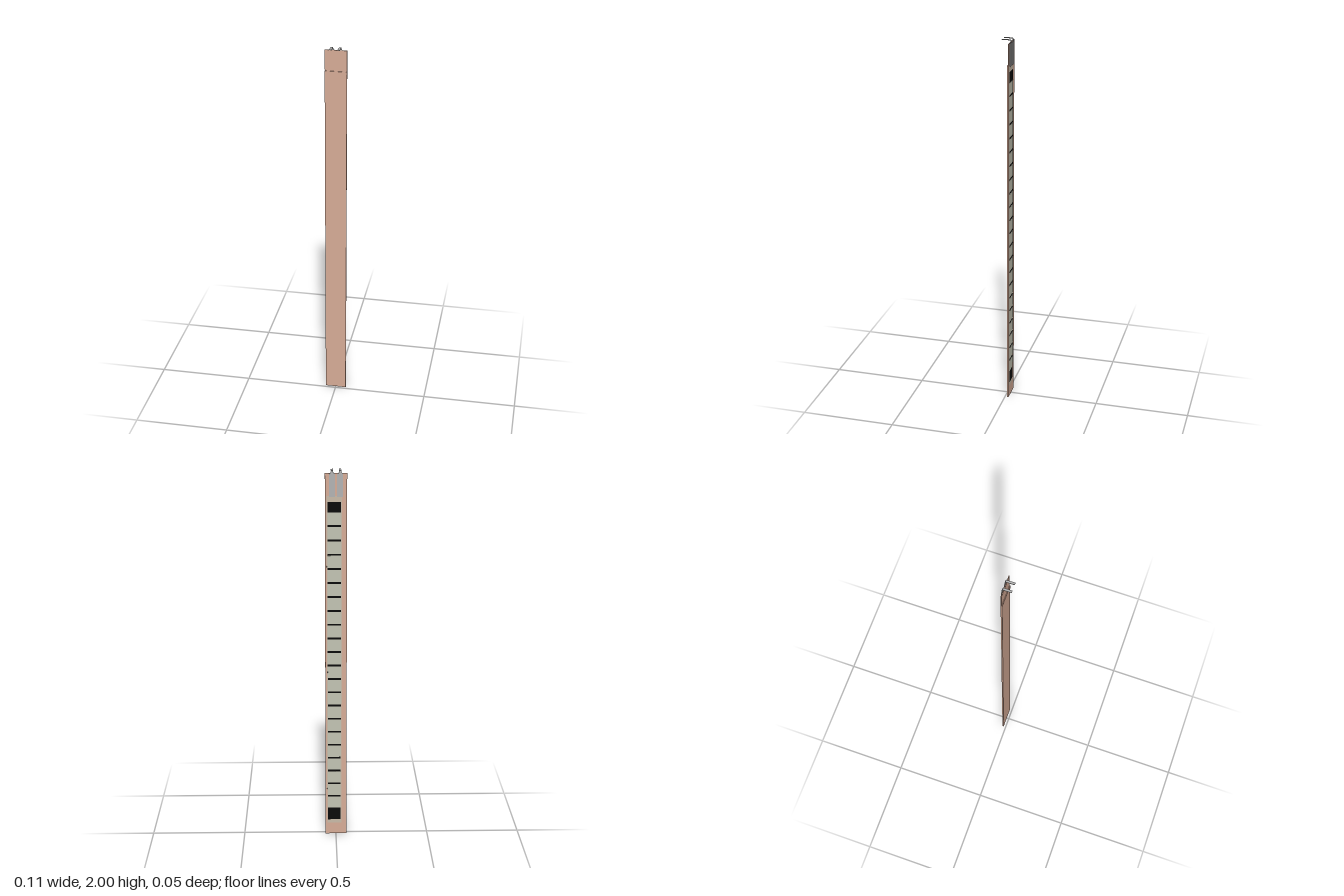
import * as THREE from 'three';

const mat = (color, extra = {}) => new THREE.MeshStandardMaterial({ color, ...extra });

export function createModel() {
  const model = new THREE.Group();
  const film = mat(0xd8ad98), carrier = mat(0xc9bba8), ink = mat(0x0a0a0a);
  const pad = mat(0xc4c5b4), metal = mat(0xb4b4b4);

  // Box given by its limits on each axis
  function slab(name, material, x0, x1, y0, y1, z0, z1, parent = model) {
    const mesh = new THREE.Mesh(new THREE.BoxGeometry(x1 - x0, y1 - y0, z1 - z0), material);
    mesh.position.set((x0 + x1) / 2, (y0 + y1) / 2, (z0 + z1) / 2);
    mesh.name = name;
    parent.add(mesh);
  }

  // Layered flexible strip: full-length base, shorter front cover, back carrier
  slab('baseFilm', film, -0.057, 0.056, 0, 1.985, -0.02, -0.016);
  slab('frontCover', film, -0.057, 0.056, 0, 1.875, -0.016, -0.0125);
  slab('backCarrier', carrier, -0.031, 0.047, 0.065, 1.87, -0.0212, -0.02);

  // Dark resistive strip carrying a row of pale conductive pads
  slab('resistiveStrip', ink, -0.026, 0.043, 0.085, 1.84, -0.0219, -0.0212);
  const pads = new THREE.Group();
  pads.name = 'conductivePads';
  model.add(pads);
  const count = 22, first = 0.15, pitch = 1.64 / count;
  for (let i = 0; i < count; i++) {
    const y = first + i * pitch;
    slab('conductivePad', pad, -0.026, 0.043, y + 0.005, y + pitch - 0.005, -0.0226, -0.0219, pads);
  }

  // Contact plate with narrowing shoulders at the top
  const plate = new THREE.Shape();
  plate.moveTo(-0.015, 1.865);
  plate.lineTo(0.015, 1.865);
  plate.lineTo(0.015, 1.982);
  plate.quadraticCurveTo(0.007, 1.985, 0.006, 1.993);
  plate.lineTo(-0.006, 1.993);
  plate.quadraticCurveTo(-0.007, 1.985, -0.015, 1.982);
  plate.closePath();
  const plateGeo = new THREE.ExtrudeGeometry(plate, { depth: 0.0022, bevelEnabled: false, curveSegments: 6 });
  plateGeo.translate(0, 0, -0.0245);

  // Side profile of the prong (z, y), bent forward over the top edge
  const bend = new THREE.Shape();
  bend.moveTo(-0.0245, 1.975);
  bend.lineTo(-0.0245, 1.992);
  bend.quadraticCurveTo(-0.0245, 2, -0.0165, 2);
  bend.lineTo(0.0235, 2);
  bend.lineTo(0.0235, 1.9975);
  bend.lineTo(-0.0165, 1.9975);
  bend.quadraticCurveTo(-0.0222, 1.9975, -0.0222, 1.992);
  bend.lineTo(-0.0222, 1.975);
  bend.closePath();
  const bendGeo = new THREE.ExtrudeGeometry(bend, { depth: 0.0116, bevelEnabled: false, curveSegments: 6 });
  bendGeo.translate(0, 0, -0.0058).rotateY(-Math.PI / 2);

  // Two crimped contacts
  for (const x of [-0.0215, 0.02]) {
    const contact = new THREE.Group();
    contact.name = 'contact';
    contact.position.x = x;
    const body = new THREE.Mesh(plateGeo, metal);
    body.name = 'contactPlate';
    const prong = new THREE.Mesh(bendGeo, metal);
    prong.name = 'bentProng';
    contact.add(body, prong);
    // Folded edges gripping the film
    for (const s of [-1, 1]) {
      const e = s * 0.014;
      slab('foldedEdge', metal, e - 0.001, e + 0.001, 1.867, 1.98, -0.0225, -0.0199, contact);
    }
    model.add(contact);
  }
  return model;
}
